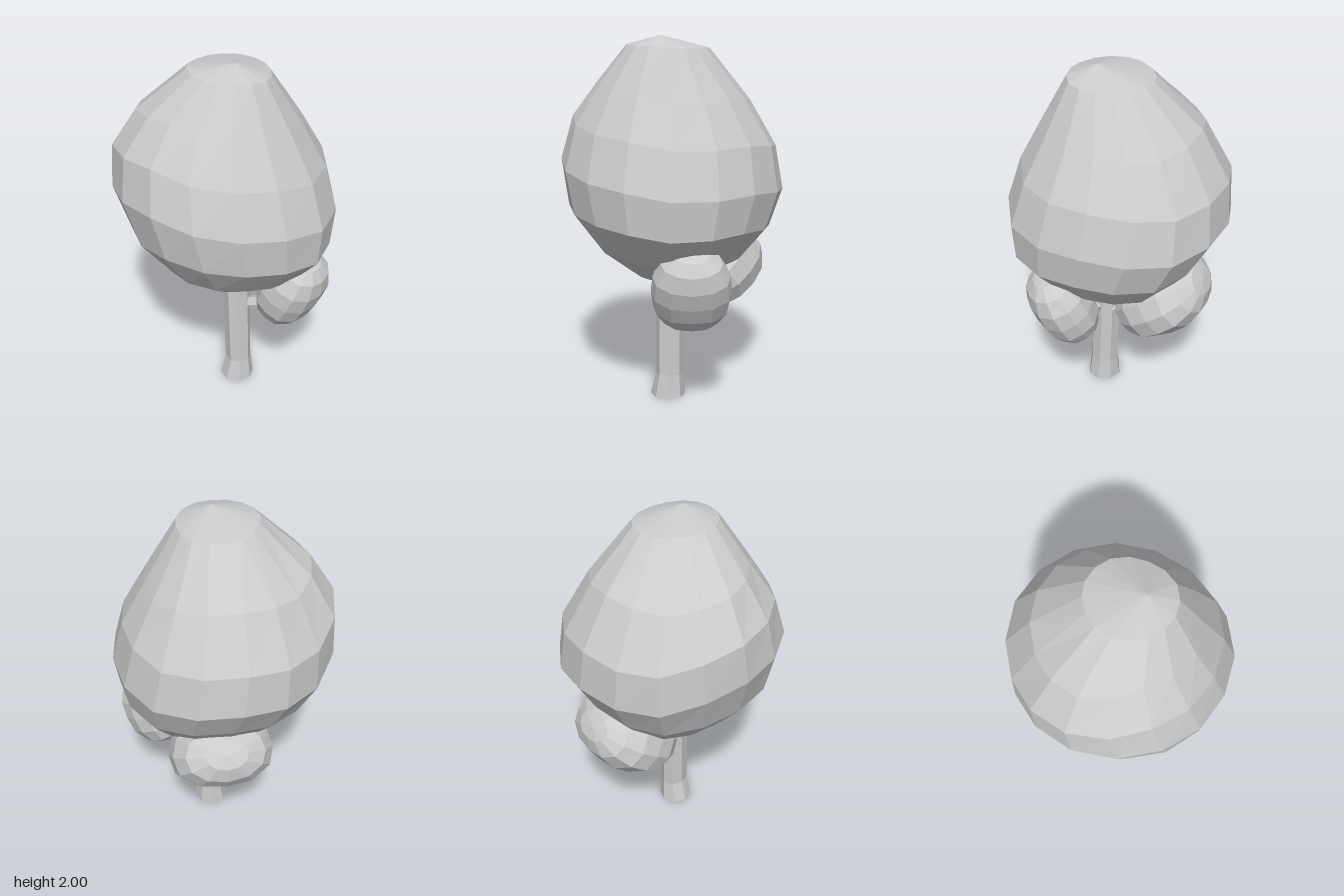
import * as THREE from 'three';

const material = new THREE.MeshStandardMaterial({
  color: 0xcccccc, flatShading: true
});

function addMesh(group, name, geometry) {
  const mesh = new THREE.Mesh(geometry, material);
  mesh.name = name;
  group.add(mesh);
  return mesh;
}

// Skin a stack of uneven rings, closed by a point at each end.
// Ring: [left x, right x, back z, front z, y at left, right, back, front, extra front-left widening]
// Bulge: [widening, lift] at each diagonal, +x+z first, then -x+z, -x-z, +x-z
function ringSkin(rings, sides, bottom, top, bulge) {
  const positions = [...bottom];
  const index = [];
  for (const [x0, x1, z0, z1, yl, yr, yb, yf, extra] of rings) {
    const rx = (x1 - x0) / 2, rz = (z1 - z0) / 2;
    for (let i = 0; i < sides; i++) {
      const a = (i / sides) * Math.PI * 2;
      const c = Math.cos(a), s = Math.sin(a);
      const quarter = Math.floor((i * 4) / sides);
      const [widen, lift] = bulge[quarter];
      const diagonal = Math.sin(2 * a) ** 2;
      const k = 1 + (widen + (quarter === 1 ? extra : 0)) * diagonal;
      const y = c * c * (c > 0 ? yr : yl) + s * s * (s > 0 ? yf : yb);
      positions.push((x0 + x1) / 2 + c * rx * k, y + lift * diagonal * (rx - 0.2), (z0 + z1) / 2 + s * rz * k);
    }
  }
  positions.push(...top);
  const last = rings.length * sides + 1;
  for (let i = 0; i < sides; i++) {
    const j = (i + 1) % sides;
    index.push(0, 1 + i, 1 + j);
    for (let r = 0; r < rings.length - 1; r++) {
      const a = 1 + r * sides + i, b = 1 + r * sides + j;
      index.push(a, a + sides, b, b, a + sides, b + sides);
    }
    index.push(last - sides + i, last, last - sides + j);
  }
  const geometry = new THREE.BufferGeometry();
  geometry.setAttribute('position', new THREE.Float32BufferAttribute(positions, 3));
  geometry.setIndex(index);
  geometry.computeVertexNormals();
  return geometry;
}

// Faceted ellipsoid, slightly fuller than a true one, leaning along its own y axis
function leafClump(group, name, center, radii, lean, turn) {
  const geometry = new THREE.SphereGeometry(1, 12, 8);
  const p = geometry.attributes.position;
  const v = new THREE.Vector3();
  for (let i = 0; i < p.count; i++) {
    v.fromBufferAttribute(p, i);
    const n = (Math.abs(v.x) ** 2.4 + Math.abs(v.y) ** 2.4 + Math.abs(v.z) ** 2.4) ** (1 / 2.4);
    v.divideScalar(n);
    p.setXYZ(i, v.x * radii[0], v.y * radii[1], v.z * radii[2]);
  }
  geometry.computeVertexNormals();
  const mesh = addMesh(group, name, geometry);
  mesh.position.set(...center);
  mesh.rotation.set(lean, turn, 0, 'YXZ');
}

// Four-sided twig between two points
function branch(group, name, from, to) {
  const a = new THREE.Vector3(...from), b = new THREE.Vector3(...to);
  const mesh = addMesh(group, name, new THREE.CylinderGeometry(0.03, 0.035, a.distanceTo(b), 4));
  mesh.position.copy(a).lerp(b, 0.5);
  mesh.quaternion.setFromUnitVectors(new THREE.Vector3(0, 1, 0), b.sub(a).normalize());
}

export function createModel() {
  const tree = new THREE.Group();
  tree.name = 'tree';

  // Trunk with a flared foot
  const trunkRings = [
    [-0.034, 0.162, -0.007, 0.188, 0, 0, 0, 0, 0],
    [-0.002, 0.147, 0.003, 0.167, 0.13, 0.13, 0.13, 0.13, 0],
    [-0.023, 0.136, -0.016, 0.146, 0.72, 0.72, 0.72, 0.72, 0]
  ];
  const even = [[0, 0], [0, 0], [0, 0], [0, 0]];
  addMesh(tree, 'trunk', ringSkin(trunkRings, 8, [0.065, 0, 0.09], [0.06, 0.72, 0.07], even));

  // Large lopsided crown
  const crownRings = [
    [-0.13, 0.22, -0.12, 0.22, 0.7, 0.69, 0.69, 0.69, 0.06],
    [-0.33, 0.43, -0.34, 0.42, 0.83, 0.82, 0.82, 0.835, 0.08],
    [-0.51, 0.57, -0.49, 0.58, 1.04, 1.0, 1.0, 1.04, 0.02],
    [-0.605, 0.6, -0.605, 0.605, 1.3, 1.2, 1.2, 1.26, -0.01],
    [-0.59, 0.54, -0.585, 0.53, 1.53, 1.44, 1.43, 1.5, -0.04],
    [-0.46, 0.41, -0.43, 0.41, 1.73, 1.66, 1.7, 1.72, -0.1],
    [-0.2, 0.23, -0.18, 0.275, 1.955, 1.93, 1.94, 1.945, -0.03]
  ];
  const crownBulge = [[0.05, -0.08], [0.01, 0.14], [-0.02, -0.18], [0.03, -0.09]];
  addMesh(tree, 'crown', ringSkin(crownRings, 16, [0.05, 0.675, 0.05], [0.04, 2, 0.12], crownBulge));

  // Two small clumps of leaves on side branches
  leafClump(tree, 'leftLeafClump', [0.357, 0.695, 0.213], [0.212, 0.24, 0.167], 0.45, Math.PI / 4);
  leafClump(tree, 'backLeafClump', [0.065, 0.7, -0.277], [0.29, 0.276, 0.2], -0.96, 0);
  branch(tree, 'leftBranch', [0.08, 0.52, 0.08], [0.32, 0.59, 0.19]);
  branch(tree, 'backBranch', [0.085, 0.53, 0.07], [0.085, 0.53, -0.16]);

  return tree;
}
